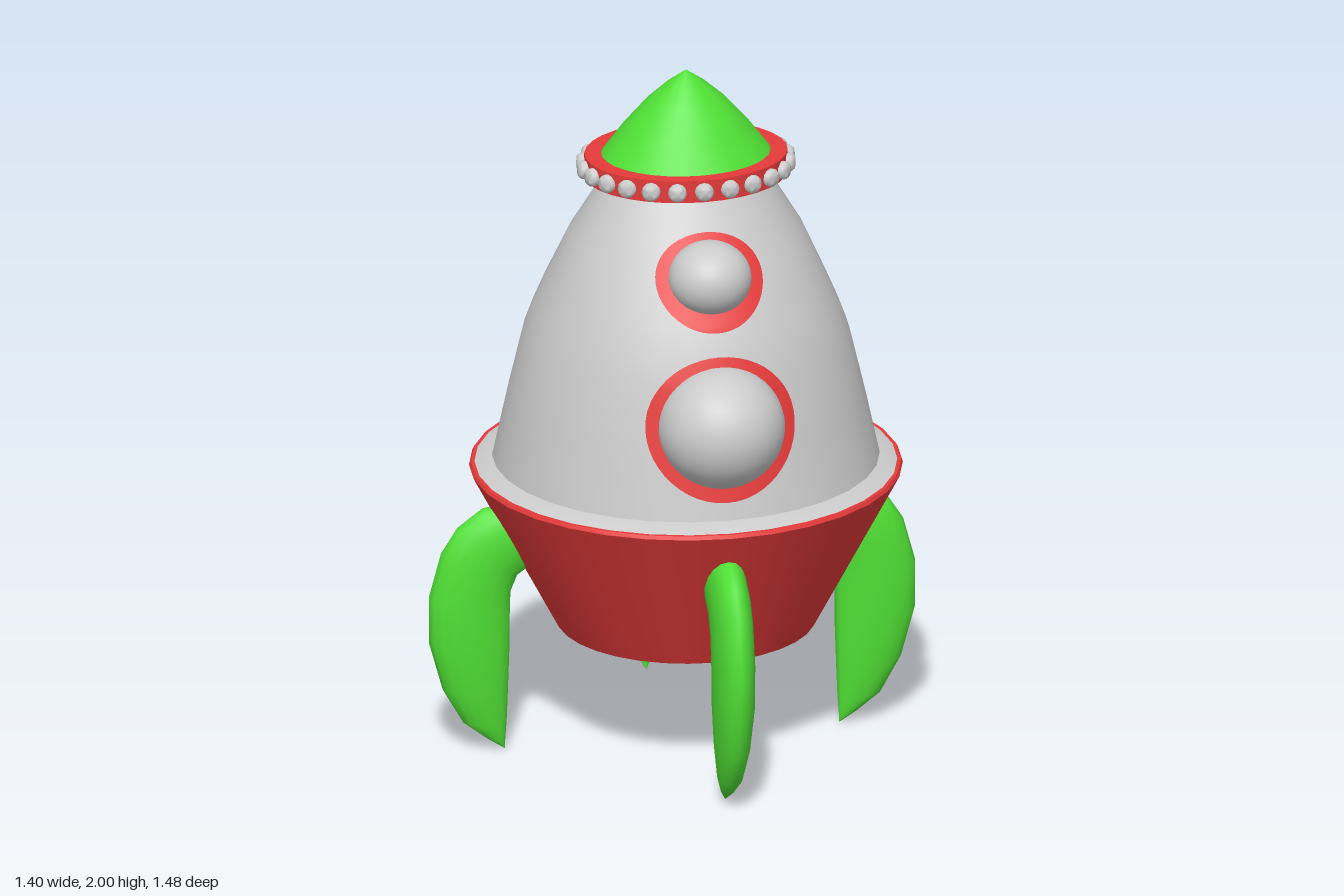
import * as THREE from 'three';
import { toCreasedNormals } from 'three/addons/utils/BufferGeometryUtils.js';

const CX = 0.04; // axis of the rocket body
const grey = new THREE.MeshStandardMaterial({ color: 0xcccccc });
const red = new THREE.MeshStandardMaterial({ color: 0xe53a3a, side: THREE.DoubleSide });
const green = new THREE.MeshStandardMaterial({ color: 0x50e035 });

// Hull radius by height; the hull widens sideways into an oval at its top
const hullProfile = [[0.545, 0.845], [0.505, 1.03], [0.46, 1.22], [0.434, 1.29], [0.4, 1.37], [0.3, 1.525], [0.2, 1.675]];
const ovalAt = (y) => 1 + 0.2 * THREE.MathUtils.clamp((y - 1.37) / 0.305, 0, 1);

function hullRadius(y) {
  for (let i = 1; i < hullProfile.length; i++) {
    const [r0, y0] = hullProfile[i - 1], [r1, y1] = hullProfile[i];
    if (y <= y1) return THREE.MathUtils.mapLinear(y, y0, y1, r0, r1);
  }
  return 0.2;
}

function hullFront(x, y) {
  const r = hullRadius(y);
  const s = x / (r * ovalAt(y));
  return r * Math.sqrt(Math.max(0, 1 - s * s));
}

// Turned part with an optional sideways stretch
function lathe(points, stretch = () => 1, crease = 0.5, sides = 32) {
  const geo = new THREE.LatheGeometry(points.map(([r, y]) => new THREE.Vector2(r, y)), sides);
  const p = geo.attributes.position;
  for (let i = 0; i < p.count; i++) p.setX(i, p.getX(i) * stretch(p.getY(i)));
  return toCreasedNormals(geo, crease);
}

// Curved fin lofted from oval sections: outer z, y, inner z, y, half thickness
function finGeometry() {
  const sections = [
    [0.5, 0.735, 0.4, 0.55, 0.055], [0.585, 0.725, 0.45, 0.545, 0.058],
    [0.66, 0.67, 0.485, 0.52, 0.058], [0.705, 0.6, 0.505, 0.47, 0.058],
    [0.74, 0.47, 0.507, 0.4, 0.058], [0.74, 0.335, 0.508, 0.3, 0.057],
    [0.7, 0.19, 0.512, 0.18, 0.048], [0.64, 0.085, 0.516, 0.08, 0.034],
    [0.575, 0.035, 0.52, 0.025, 0.018], [0.522, 0, 0.52, 0, 0.002],
  ];
  const n = 16, pos = [], idx = [];
  sections.forEach(([zo, yo, zi, yi, t], i) => {
    for (let j = 0; j < n; j++) {
      const a = (j / n) * Math.PI * 2, c = Math.cos(a) / 2;
      pos.push(t * Math.sin(a), (yo + yi) / 2 + (yo - yi) * c, (zo + zi) / 2 + (zo - zi) * c);
      if (i === sections.length - 1) continue;
      const p = i * n + j, q = i * n + ((j + 1) % n);
      idx.push(p, p + n, q, q, p + n, q + n);
    }
  });
  const geo = new THREE.BufferGeometry();
  geo.setAttribute('position', new THREE.Float32BufferAttribute(pos, 3));
  geo.setIndex(idx);
  geo.computeVertexNormals();
  return geo;
}

// Flat ring laid onto the front of the hull
function hullRing(cy, rx, ry) {
  const geo = new THREE.RingGeometry(0.5, 1, 48, 8);
  const p = geo.attributes.position;
  for (let i = 0; i < p.count; i++) {
    const x = p.getX(i) * rx, y = cy + p.getY(i) * ry;
    p.setXYZ(i, x, y, hullFront(x, y) + 0.01);
  }
  geo.computeVertexNormals();
  return geo;
}

export function createModel() {
  const model = new THREE.Group();
  const body = new THREE.Group();
  body.name = 'body';
  body.position.x = CX;
  model.add(body);

  const add = (name, geo, mat, parent = body) => {
    const mesh = new THREE.Mesh(geo, mat);
    mesh.name = name;
    parent.add(mesh);
    return mesh;
  };

  // Base, ledge and hull
  add('base', lathe([[0, 0.35], [0.365, 0.35], [0.61, 0.815], [0.605, 0.825], [0.59, 0.825]]), red);
  add('ledge', lathe([[0.602, 0.822], [0.545, 0.845], [0.5, 0.85]], undefined, 1), grey);
  add('hull', lathe([...hullProfile, [0, 1.675]], ovalAt, 0.6), grey);

  // Neck, collar and nose cone share the oval outline
  const oval = () => 1.2;
  add('neck', lathe([[0.12, 1.67], [0.12, 1.7]], oval), red);
  add('collar', lathe([[0, 1.69], [0.24, 1.69], [0.24, 1.755], [0, 1.755]], oval), red);
  add('noseCone', lathe([[0.2, 1.755], [0.15, 1.835], [0.095, 1.91], [0.045, 1.963], [0, 2]], oval, 0.6), green);

  // Studs around the collar
  const studGeo = lathe([[0.026, -0.01], [0.026, 0.013], [0.018, 0.022], [0, 0.023]], undefined, 0.9, 12);
  studGeo.rotateX(Math.PI / 2);
  const studs = new THREE.Group();
  studs.name = 'collarStuds';
  body.add(studs);
  for (let i = 0; i < 24; i++) {
    const a = (i / 24) * Math.PI * 2;
    const stud = add('stud', studGeo, grey, studs);
    stud.position.set(0.288 * Math.sin(a), 1.722, 0.238 * Math.cos(a));
    stud.rotation.y = Math.atan2(Math.sin(a) / 1.2, Math.cos(a));
  }

  // Domed portholes with their surrounds
  const portholes = [
    { name: 'lower', y: 1.098, z: 0.465, r: [0.18, 0.174, 0.18], ring: [1.098, 0.215, 0.2] },
    { name: 'upper', y: 1.49, z: 0.313, r: [0.118, 0.106, 0.117], ring: [1.483, 0.154, 0.123] },
  ];
  for (const h of portholes) {
    const dome = add(h.name + 'PortholeDome', new THREE.SphereGeometry(1, 32, 20), grey);
    dome.scale.set(...h.r);
    dome.position.set(0, h.y, h.z);
    add(h.name + 'PortholeSurround', hullRing(...h.ring), red);
  }

  // Four fins; the side pair sits slightly closer in
  const finGeo = finGeometry();
  ['frontFin', 'leftFin', 'backFin', 'rightFin'].forEach((name, k) => {
    const fin = add(name, finGeo, green, model);
    fin.rotation.y = (k * Math.PI) / 2;
    fin.position.x = [CX, -0.04, CX, 0.04][k];
  });

  return model;
}
